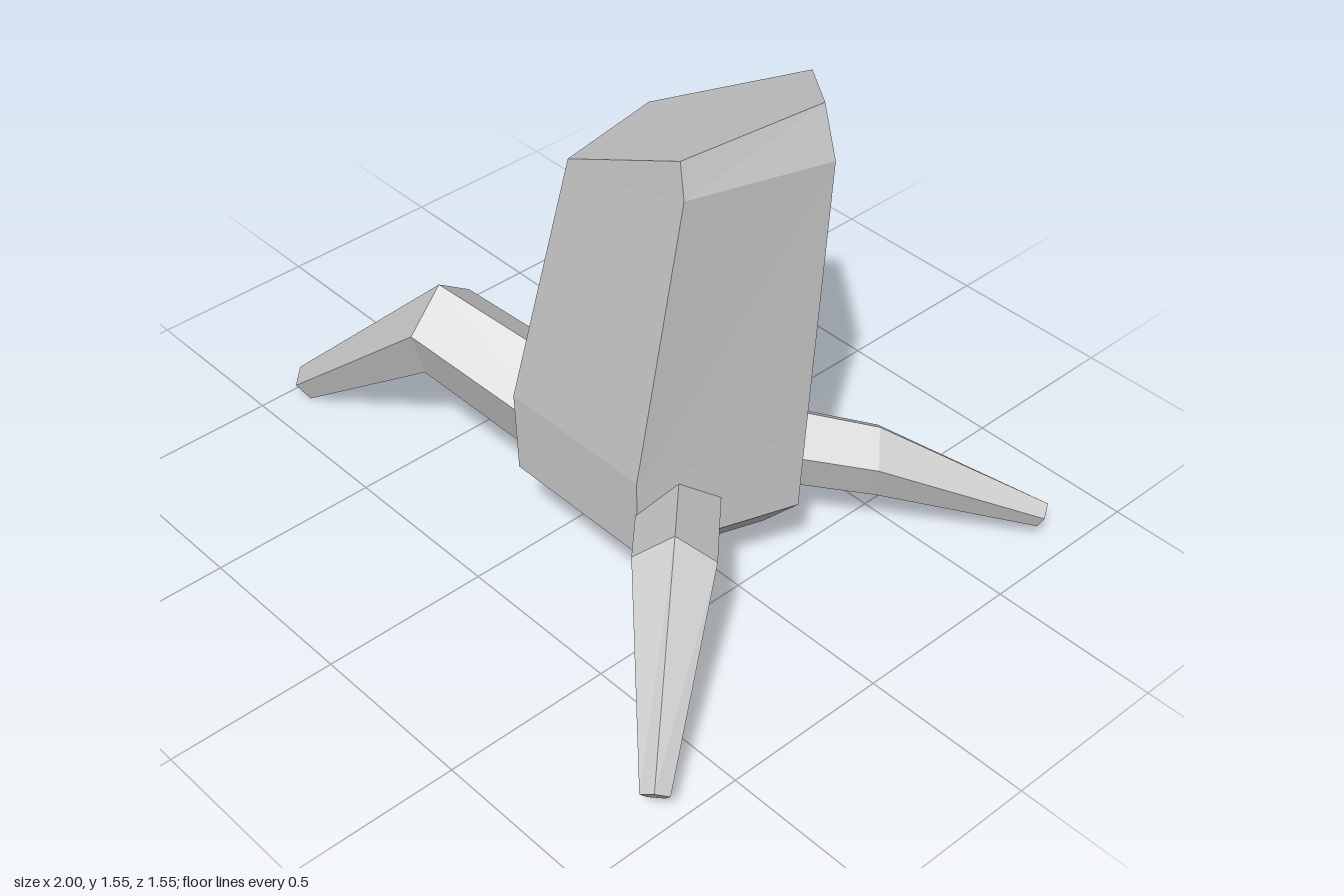
import * as THREE from 'three';

const V = (x, y, z) => new THREE.Vector3(x, y, z);
const SIDES = 5;

// Pentagon facing along dir, with its first corner pointing along up.
function ring(centre, r, dir, up) {
  const side = up.clone().cross(dir).normalize();
  return Array.from({ length: SIDES }, (_, i) => {
    const a = (i / SIDES) * Math.PI * 2;
    return centre.clone().addScaledVector(up, r * Math.cos(a)).addScaledVector(side, r * Math.sin(a));
  });
}

// Skin a list of rings and close both ends.
function loft(rings, name) {
  const pos = [];
  const tri = (...pts) => pts.forEach((p) => pos.push(p.x, p.y, p.z));
  for (let k = 0; k < rings.length - 1; k++) {
    const lo = rings[k], hi = rings[k + 1];
    for (let i = 0; i < SIDES; i++) {
      const j = (i + 1) % SIDES;
      tri(lo[j], lo[i], hi[i]);
      tri(lo[j], hi[i], hi[j]);
    }
  }
  const first = rings[0], last = rings[rings.length - 1];
  for (let i = 1; i < SIDES - 1; i++) {
    tri(first[0], first[i], first[i + 1]);
    tri(last[0], last[i + 1], last[i]);
  }
  const geo = new THREE.BufferGeometry();
  geo.setAttribute('position', new THREE.Float32BufferAttribute(pos, 3));
  geo.computeVertexNormals();
  const mesh = new THREE.Mesh(geo, new THREE.MeshStandardMaterial({ color: 0xcccccc, flatShading: true }));
  mesh.name = name;
  return mesh;
}

// Leaning pentagonal column with a slanted top.
function makeBody() {
  const level = (x, y, r) => ring(V(x, y, 0), r, V(0, 1, 0), V(0, 0, -1));
  const belly = level(0.21, 0.53, 0.41);
  const top = [V(0.35, 1.43, -0.35), V(0.617, 1.558, -0.11), V(0.52, 1.51, 0.265), V(0.13, 1.33, 0.27), V(0, 1.27, -0.12)];
  // Only the two high corners are bevelled; the others run straight to the top.
  const shoulder = top.map((p, i) => belly[i].clone().lerp(p, 0.95));
  shoulder[1] = V(0.657, 1.41, -0.115);
  shoulder[2] = V(0.54, 1.41, 0.27);
  return loft([level(0.21, 0.185, 0.3), level(0.21, 0.285, 0.4), belly, shoulder, top], 'body');
}

// Bent leg: upright pentagons at root and knee, a tip square to the shin.
function makeLeg(name, root, rRoot, knee, rKnee, tip, rTip) {
  const up = V(0, 1, 0);
  const thigh = knee.clone().sub(root).setY(0).normalize();
  const reach = tip.clone().sub(root).setY(0).normalize();
  const shin = tip.clone().sub(knee).normalize();
  const tipUp = up.clone().addScaledVector(shin, -shin.y).normalize();
  return loft([
    ring(root, rRoot, thigh, up),
    ring(knee, rKnee, reach, up),
    ring(tip, rTip, shin, tipUp),
  ], name);
}

export function createModel() {
  const group = new THREE.Group();
  group.name = 'leggedColumn';
  group.add(
    makeBody(),
    makeLeg('rightLeg', V(0.02, 0.335, 0.105), 0.157, V(-0.465, 0.47, 0.23), 0.14, V(-0.965, 0.042, 0.35), 0.052),
    makeLeg('frontLeftLeg', V(0.43, 0.355, 0.16), 0.115, V(0.67, 0.43, 0.405), 0.113, V(0.965, 0.1, 0.74), 0.04),
    makeLeg('backLeftLeg', V(0.345, 0.328, -0.2), 0.115, V(0.588, 0.273, -0.435), 0.104, V(0.92, 0.097, -0.755), 0.038),
  );
  return group;
}
